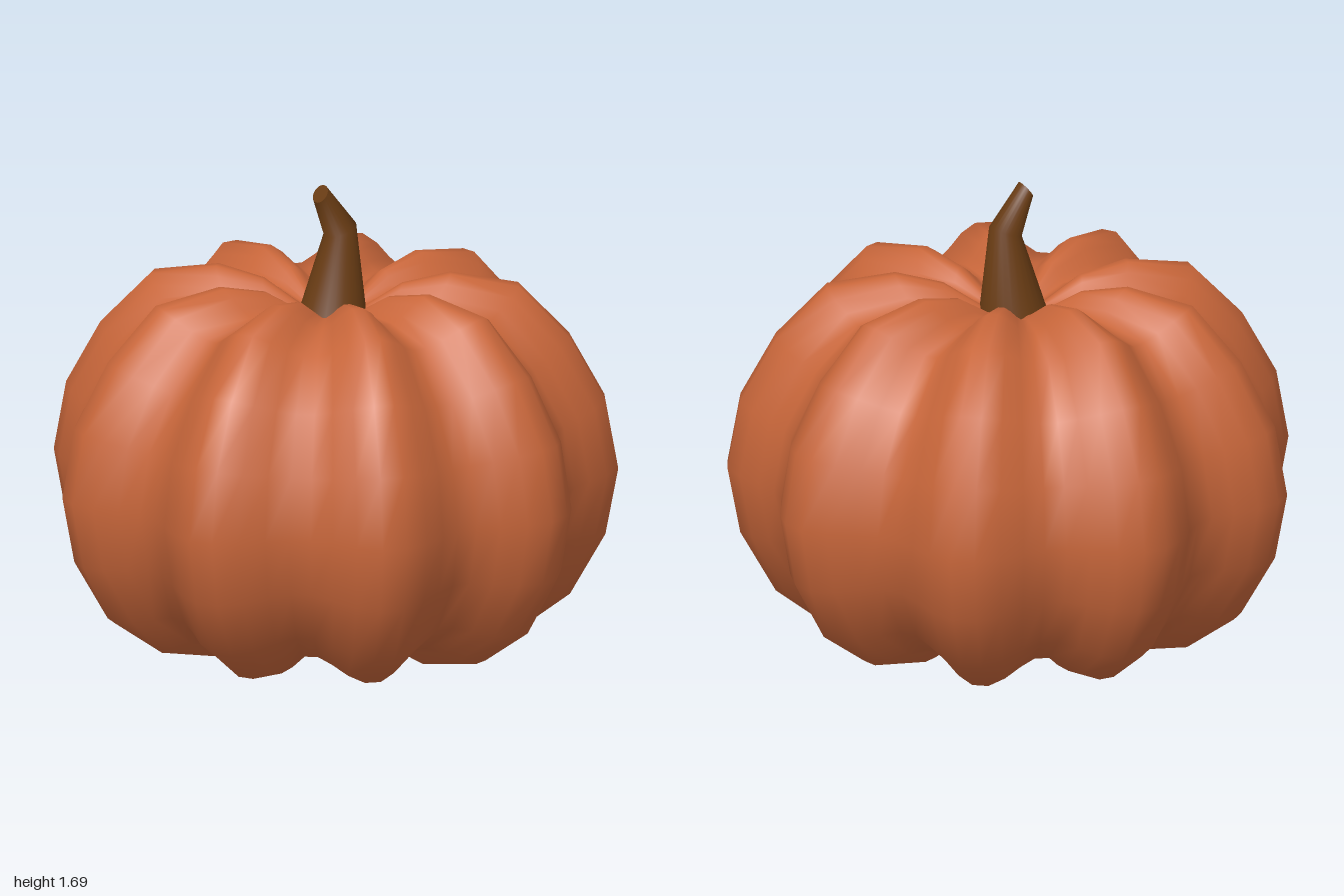
import * as THREE from 'three';

// Smooth skin over closed rings of points, listed from bottom to top
function skin(rings) {
  const n = rings[0].length, pos = [], idx = [];
  for (const ring of rings) for (const p of ring) pos.push(...p);
  for (let j = 0; j < rings.length - 1; j++) {
    for (let i = 0; i < n; i++) {
      const k = (i + 1) % n;
      const a = j * n + i, b = j * n + k, c = a + n, d = b + n;
      idx.push(a, c, b, b, c, d);
    }
  }
  const g = new THREE.BufferGeometry();
  g.setAttribute('position', new THREE.Float32BufferAttribute(pos, 3));
  g.setIndex(idx);
  g.computeVertexNormals();
  return g;
}

function addMesh(group, name, geometry, color) {
  const mesh = new THREE.Mesh(geometry, new THREE.MeshStandardMaterial({ color }));
  mesh.name = name;
  group.add(mesh);
}

export function createModel() {
  const model = new THREE.Group();
  model.name = 'pumpkin';
  const CZ = 0.02, CY = 0.64;

  // Body: profile along a lobe ridge as [radius, height, lobe strength]
  const profile = [
    [0.004, 0.13, 0], [0.12, 0.11, 0.2], [0.25, 0.05, 0.65], [0.42, 0.004, 1], [0.66, 0.05, 1],
    [0.84, 0.18, 1], [0.965, 0.4, 1], [1.01, 0.64, 1], [0.965, 0.89, 1], [0.84, 1.12, 1],
    [0.66, 1.31, 1], [0.42, 1.355, 1], [0.25, 1.32, 0.65], [0.12, 1.24, 0.2], [0.004, 1.21, 0],
  ];
  const LOBES = 9, SEGMENTS = 72;
  const bodyRings = profile.map(([r, y, strength]) =>
    Array.from({ length: SEGMENTS }, (_, i) => {
      const t = ((i + 0.5) / SEGMENTS) * Math.PI * 2;
      // Ridges keep full size, valleys shrink toward the middle of the body
      const s = 1 - strength * 0.067 * (0.924 - Math.cos(LOBES * t));
      return [Math.sin(t) * r * s, CY + (y - CY) * s, CZ - Math.cos(t) * r * s];
    }));
  addMesh(model, 'body', skin(bodyRings), 0xc8663a);

  // Stem: tilted rings as [centre x, centre y, half width x, tilt y, half depth z]
  const sections = [
    [0, 1.22, 0.12, 0, 0.12],
    [0.032, 1.52, 0.058, 0.02, 0.056],
    [-0.05, 1.662, 0.02, 0.028, 0.038],
  ];
  const stemRings = sections.map(([x, y, w, tilt, d]) =>
    Array.from({ length: 24 }, (_, i) => {
      const t = (i / 24) * Math.PI * 2;
      return [x + Math.sin(t) * w, y + Math.sin(t) * tilt, CZ + 0.006 - Math.cos(t) * d];
    }));
  addMesh(model, 'stem', skin(stemRings), 0x6b3d14);

  // Flat cut end of the stem
  const end = stemRings[2];
  const centre = end.map(() => [-0.05, 1.662, CZ + 0.006]);
  addMesh(model, 'stemTip', skin([end, centre]), 0x6b3d14);

  return model;
}
